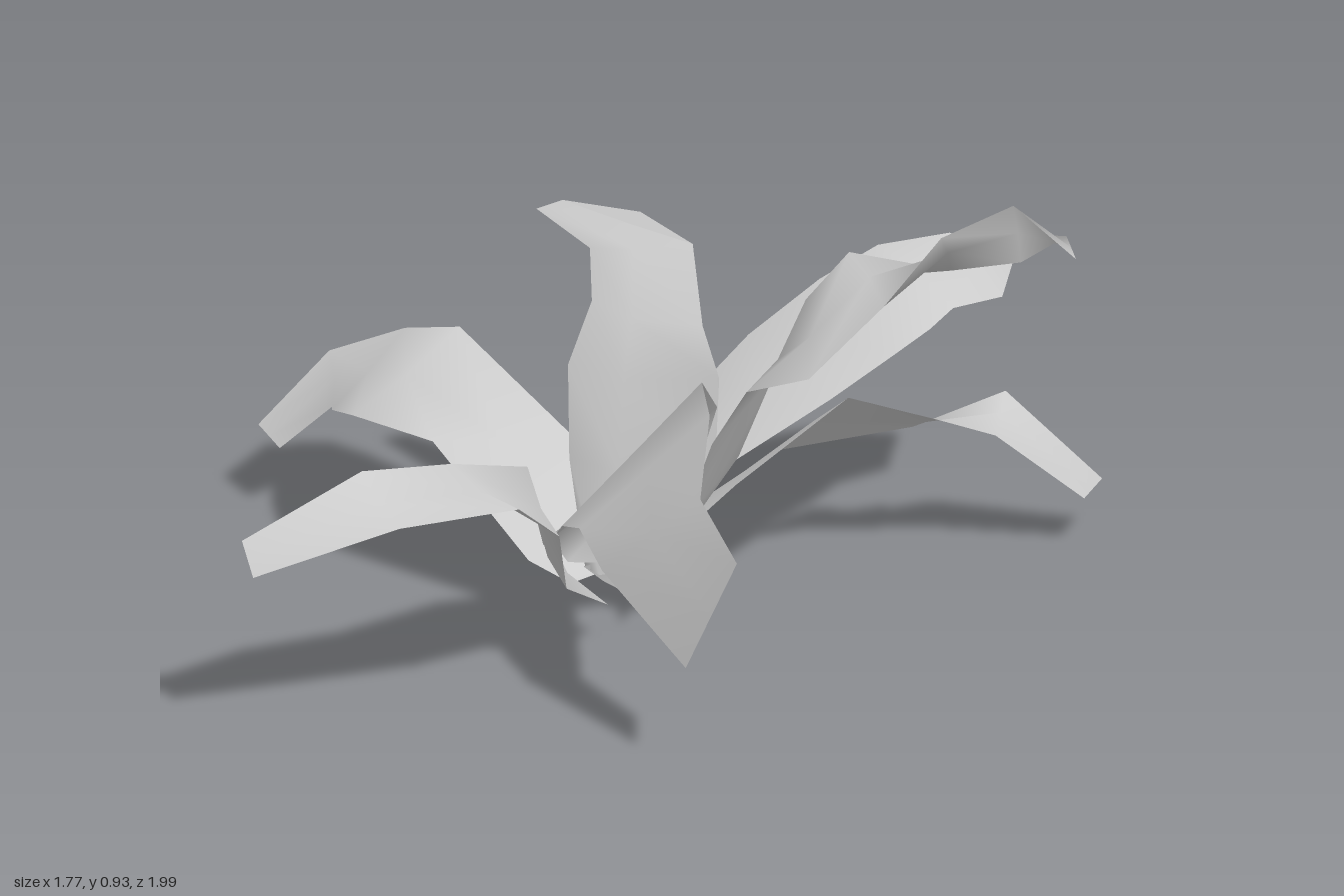
import * as THREE from 'three';

const leafGrey = new THREE.MeshStandardMaterial({ color: 0xcccccc, side: THREE.DoubleSide });
leafGrey.name = 'leaf grey';

// A leaf blade from two matching edges; the midrib is shifted by `fold`, fading towards the tip.
function leaf(name, edgeA, edgeB, fold) {
  const positions = [], index = [];
  const last = edgeA.length - 1;
  edgeA.forEach((a, i) => {
    const b = edgeB[i];
    const fade = 1 - (i / last) ** 2;
    const mid = a.map((v, k) => (v + b[k]) / 2 + fold[k] * fade);
    positions.push(...a, ...mid, ...b);
    if (i === last) return;
    for (let c = 0; c < 2; c++) {
      const p = i * 3 + c;
      index.push(p, p + 3, p + 1, p + 1, p + 3, p + 4);
    }
  });
  const geometry = new THREE.BufferGeometry();
  geometry.setAttribute('position', new THREE.Float32BufferAttribute(positions, 3));
  geometry.setIndex(index);
  geometry.computeVertexNormals();
  const mesh = new THREE.Mesh(geometry, leafGrey);
  mesh.name = name;
  return mesh;
}

export function createModel() {
  const plant = new THREE.Group();
  plant.name = 'plant';

  plant.add(
    // Long leaf reaching back
    leaf('backLeaf',
      [[0.05, 0.12, -0.08], [0.03, 0.24, -0.2], [0.03, 0.36, -0.34], [0.055, 0.45, -0.52], [0.14, 0.55, -0.65], [0.2, 0.6, -0.77], [0.28, 0.6, -0.91], [0.37, 0.53, -1]],
      [[0.15, 0.12, -0.08], [0.22, 0.3, -0.23], [0.37, 0.43, -0.37], [0.42, 0.49, -0.52], [0.44, 0.52, -0.62], [0.44, 0.54, -0.7], [0.47, 0.53, -0.83], [0.38, 0.53, -0.99]],
      [0, 0.035, 0]),
    // Narrow drooping leaf beneath it, twisted along its length
    leaf('lowBackLeaf',
      [[0.1, 0.12, -0.08], [0.12, 0.18, -0.22], [0.18, 0.25, -0.44], [0.36, 0.27, -0.67], [0.5, 0.34, -0.8], [0.62, 0.12, -0.97]],
      [[0.16, 0.14, -0.06], [0.24, 0.26, -0.22], [0.35, 0.4, -0.46], [0.47, 0.33, -0.61], [0.54, 0.28, -0.71], [0.64, 0.11, -0.88]],
      [0, 0.005, 0]),
    // Tall broad leaf arching to the left side
    leaf('tallSideLeaf',
      [[0.14, 0.1, -0.1], [0.24, 0.32, -0.23], [0.31, 0.5, -0.25], [0.4, 0.63, -0.23], [0.46, 0.74, -0.16], [0.54, 0.85, -0.2], [0.71, 0.81, -0.32], [0.77, 0.79, -0.48], [0.82, 0.83, -0.57]],
      [[0.19, 0.1, 0.05], [0.31, 0.29, 0.06], [0.39, 0.48, 0.07], [0.47, 0.61, 0.06], [0.59, 0.65, 0.01], [0.7, 0.8, -0.1], [0.75, 0.92, -0.23], [0.78, 0.93, -0.44], [0.88, 0.81, -0.52]],
      [0.01, 0.01, 0]),
    // Broad leaf leaning to the front left
    leaf('broadFrontLeaf',
      [[0.14, 0.1, -0.06], [0.22, 0.35, -0.13], [0.28, 0.48, -0.1], [0.35, 0.6, 0.05], [0.5, 0.62, 0.23], [0.65, 0.55, 0.47], [0.8, 0.47, 0.55]],
      [[0.02, 0.13, 0.06], [-0.02, 0.18, 0.07], [0.06, 0.23, 0.16], [0.2, 0.34, 0.33], [0.28, 0.37, 0.38], [0.41, 0.34, 0.48], [0.7, 0.23, 0.59]],
      [0.01, 0.01, 0]),
    // Leaf arching forward
    leaf('frontLeaf',
      [[-0.05, 0.15, 0.05], [0, 0.27, 0.15], [0.07, 0.42, 0.27], [0.08, 0.52, 0.55], [0, 0.55, 0.75], [-0.15, 0.43, 0.96]],
      [[0.15, 0.08, 0.1], [0.19, 0.19, 0.3], [0.23, 0.34, 0.38], [0.28, 0.48, 0.59], [0.13, 0.47, 0.8], [-0.1, 0.37, 0.99]],
      [0, -0.015, 0.01]),
    // Low leaf spreading to the right side
    leaf('lowSideLeaf',
      [[0.08, 0.12, -0.1], [0, 0.2, -0.18], [-0.2, 0.28, -0.23], [-0.52, 0.4, -0.31], [-0.68, 0.35, -0.34], [-0.82, 0.29, -0.27], [-0.89, 0.16, -0.12]],
      [[0.02, 0.08, 0.05], [-0.05, 0.13, 0.1], [-0.27, 0.35, 0.13], [-0.5, 0.34, 0.09], [-0.64, 0.28, -0.03], [-0.7, 0.25, -0.14], [-0.8, 0.145, -0.07]],
      [0, -0.01, 0]),
    // Upright cupped leaf, its tip curling back
    leaf('uprightLeaf',
      [[0.02, 0.1, 0], [-0.02, 0.33, 0], [-0.045, 0.52, -0.03], [-0.05, 0.63, -0.12], [-0.12, 0.7, -0.21], [-0.32, 0.71, -0.3]],
      [[0.14, 0.1, -0.1], [0.21, 0.3, -0.19], [0.22, 0.5, -0.19], [0.2, 0.62, -0.16], [0.11, 0.75, -0.25], [-0.29, 0.72, -0.35]],
      [-0.01, 0, 0.07]),
    // Outer fold of the curled tip
    leaf('uprightLeafTip',
      [[0.11, 0.75, -0.25], [-0.09, 0.728, -0.28], [-0.29, 0.72, -0.35]],
      [[0.11, 0.75, -0.25], [-0.08, 0.75, -0.33], [-0.29, 0.72, -0.35]],
      [0, 0, 0]),
    // Small pointed stub at the foot
    leaf('rootStub',
      [[0.03, 0.11, 0.02], [0.05, 0.07, -0.02], [0.13, 0, -0.1]],
      [[0.19, 0.15, -0.14], [0.18, 0.11, -0.14], [0.132, 0, -0.102]],
      [0, 0, 0]),
  );
  return plant;
}
